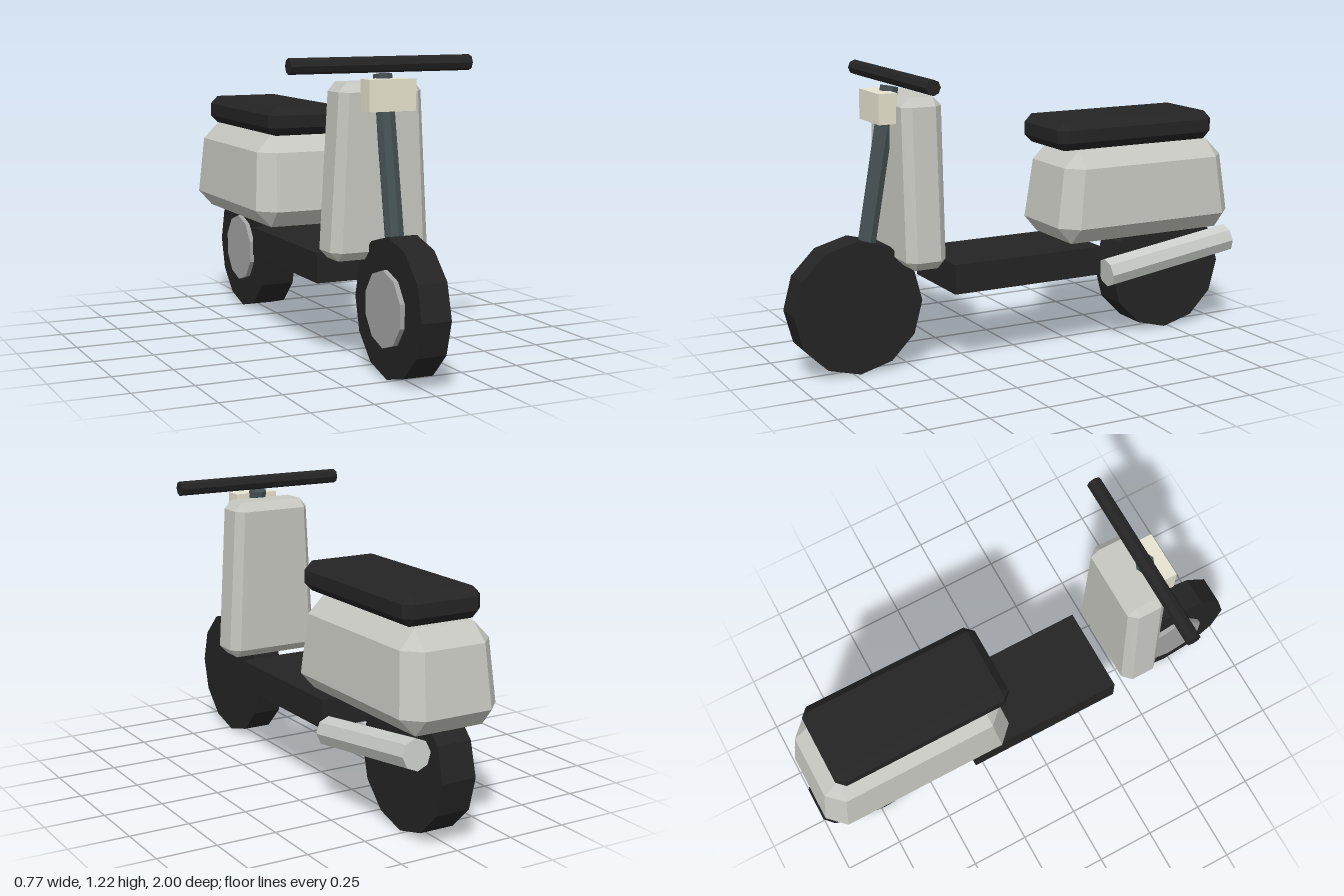
import * as THREE from 'three';
import { ConvexGeometry } from 'three/addons/geometries/ConvexGeometry.js';

const paint = (name, color) => {
  const m = new THREE.MeshStandardMaterial({ color });
  m.name = name;
  return m;
};

// Faceted rod between two points
function rod(from, to, radius, sides, spin = 0) {
  const a = new THREE.Vector3(...from), b = new THREE.Vector3(...to);
  const dir = b.clone().sub(a);
  const indexed = new THREE.CylinderGeometry(radius, radius, dir.length(), sides);
  indexed.rotateY(spin);
  indexed.applyQuaternion(new THREE.Quaternion().setFromUnitVectors(new THREE.Vector3(0, 1, 0), dir.normalize()));
  const g = indexed.toNonIndexed();
  g.computeVertexNormals();
  const mid = a.add(b).multiplyScalar(0.5);
  return g.translate(mid.x, mid.y, mid.z);
}

// Box with chamfered edges; taperX and taperZ scale the top relative to the bottom
function chamferBox(w, h, d, bevel, taperX = 1, taperZ = 1) {
  const points = [];
  for (const sx of [-1, 1]) for (const sy of [-1, 1]) for (const sz of [-1, 1]) {
    for (let axis = 0; axis < 3; axis++) {
      const inset = [0, 1, 2].map((i) => (i === axis ? 0 : bevel));
      const y = sy * (h / 2 - inset[1]);
      const t = y / h + 0.5;
      points.push(new THREE.Vector3(
        sx * (w / 2 - inset[0]) * (1 + (taperX - 1) * t), y,
        sz * (d / 2 - inset[2]) * (1 + (taperZ - 1) * t)));
    }
  }
  return new ConvexGeometry(points);
}

export function createModel() {
  const model = new THREE.Group();
  model.name = 'scooter';
  const bodyPaint = paint('body grey', 0xc8c8c2);
  const black = paint('black rubber', 0x242424);
  const steel = paint('dark steel', 0x455153);
  const chrome = paint('exhaust metal', 0xc9ccc8);
  const hubGrey = paint('hub grey', 0xa4a4a4);
  const cream = paint('lamp cream', 0xe8e4d0);

  const add = (name, geometry, material, x = 0, y = 0, z = 0) => {
    const mesh = new THREE.Mesh(geometry, material);
    mesh.name = name;
    mesh.position.set(x, y, z);
    model.add(mesh);
  };

  // Wheels, each with a hub disc on one side
  for (const [name, z, half, hubX] of [['front', 0.727, 0.062, -0.082], ['rear', -0.727, 0.075, -0.095]]) {
    add(name + 'Wheel', rod([-half, 0.275, z], [half, 0.275, z], 0.275, 12), black);
    add(name + 'Hub', rod([hubX, 0.275, z], [-half + 0.01, 0.275, z], 0.15, 10, Math.PI / 2), hubGrey);
  }

  // Chassis
  add('floorboard', new THREE.BoxGeometry(0.372, 0.122, 0.682), black, 0, 0.376, 0.021);
  add('legShield', chamferBox(0.424, 0.686, 0.172, 0.036, 0.816, 1), bodyPaint, 0, 0.775, 0.485);
  add('rearBody', chamferBox(0.444, 0.394, 0.878, 0.072, 0.875, 0.875), bodyPaint, 0, 0.65, -0.564);
  add('seat', chamferBox(0.35, 0.122, 0.767, 0.034), black, 0, 0.911, -0.515);

  // Steering
  add('steeringColumn', rod([0, 0.36, 0.694], [0, 1.149, 0.555], 0.0385, 8), steel);
  add('handlebar', rod([-0.385, 1.185, 0.543], [0.385, 1.185, 0.543], 0.031, 8), black);
  add('headlamp', new THREE.BoxGeometry(0.197, 0.122, 0.078), cream, 0, 1.073, 0.605);

  // Exhaust
  add('exhaust', rod([0.172, 0.314, -0.357], [0.172, 0.4, -0.973], 0.062, 8), chrome);

  return model;
}
